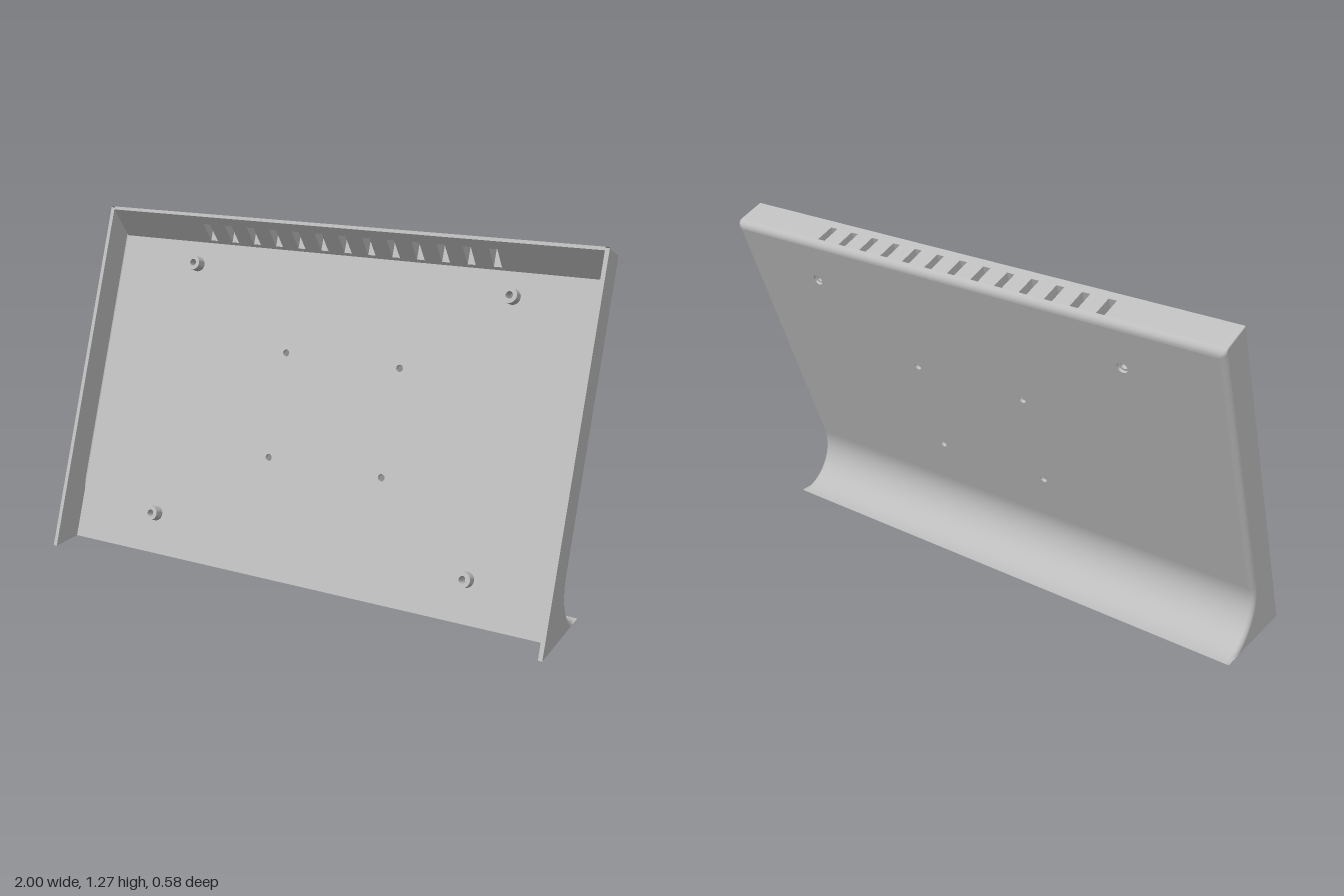
import * as THREE from 'three';
import { toCreasedNormals } from 'three/addons/utils/BufferGeometryUtils.js';

const TILT = THREE.MathUtils.degToRad(20);
const C = Math.cos(TILT), S = Math.sin(TILT);
// Tilted frame: w = depth behind the front rim, v = height along the slope
const L = 1.351;              // slope length
const FW = 0.1175, BW = 0.13; // front and back of the panel
const RC = 0.025;             // rounding of the top back edge
const R = 0.165, WC = BW + R, VC = 0.283; // cove at the foot
const INNER = 0.985, FLAT = 0.98, FRONT_Z = 0.29;
const CEIL = 1.261;           // where the sloped ceiling meets the panel

const grey = new THREE.MeshStandardMaterial({ color: 0xbdbdbd, side: THREE.DoubleSide });
grey.name = 'light grey';

function add(parent, name, geometry) {
  const m = new THREE.Mesh(geometry, grey);
  m.name = name;
  parent.add(m);
  return m;
}

// Flat rectangle with round holes given as [x, y, radius]
function plate(half, y0, y1, holes) {
  const s = new THREE.Shape();
  s.moveTo(-half, y0).lineTo(half, y0).lineTo(half, y1).lineTo(-half, y1).closePath();
  for (const [x, y, r] of holes) {
    const h = new THREE.Path();
    h.absarc(x, y, r, 0, Math.PI * 2, true);
    s.holes.push(h);
  }
  return new THREE.ShapeGeometry(s, 16);
}

// Profile in (w, v) extruded across x
function across(points, x0, x1) {
  const s = new THREE.Shape(points.map(([w, v]) => new THREE.Vector2(w, v)));
  const g = new THREE.ExtrudeGeometry(s, { depth: x1 - x0, bevelEnabled: false });
  return g.rotateY(Math.PI / 2).translate(x0, 0, 0);
}

// Back outline from the foot tip to the top front edge: point, inward normal, side fillet
function backPath() {
  const path = [], n = 24, k = 6;
  for (let i = 0; i <= n; i++) {
    const a = THREE.MathUtils.degToRad(105) * (1 - i / n);
    const m = [-Math.cos(a), -Math.sin(a)];
    path.push({ p: [WC + R * m[0], VC + R * m[1]], m, r: 0.02 });
  }
  path[n].open = true;
  for (let i = 0; i <= k; i++) {
    const b = (Math.PI / 2) * i / k, c = Math.cos(b), s = Math.sin(b);
    path.push({ p: [BW - RC + RC * c, L - RC + RC * s], m: [-c, -s], r: 0.02 - 0.016 * i / k });
  }
  path[path.length - 1].open = true;
  path.push({ p: [0, L], m: [0, -1], r: 0.004 });
  return path;
}

// Move a path point inward, keeping it above the ground
function inset({ p, m }, d) {
  let w = p[0] + m[0] * d, v = p[1] + m[1] * d;
  const y = v * C - w * S;
  if (y < 0) { v -= y * C; w += y * S; }
  return [w, v];
}

// Rounded skin over the cove and the edges; open segments leave the middle free
function skin(path) {
  const K = 6, cols = 2 * K + 4, pos = [], idx = [];
  path.forEach((q) => {
    const half = [[FLAT, 0]];
    for (let j = 0; j <= K; j++) {
      const t = (Math.PI / 2) * j / K;
      half.push([1 - q.r + q.r * Math.sin(t) + (j === 0 ? 1e-5 : 0), q.r * (1 - Math.cos(t))]);
    }
    const ring = [...half.map(([x, d]) => [-x, d]).reverse(), ...half];
    for (const [x, d] of ring) {
      const [w, v] = inset(q, d);
      pos.push(x, v, -w);
    }
  });
  for (let i = 0; i < path.length - 1; i++) {
    for (let j = 0; j < cols - 1; j++) {
      if (path[i].open && j === K + 1) continue;
      const a = i * cols + j, b = a + 1, c = a + cols, d = c + 1;
      idx.push(a, c, b, b, c, d);
    }
  }
  const g = new THREE.BufferGeometry();
  g.setAttribute('position', new THREE.Float32BufferAttribute(pos, 3));
  g.setIndex(idx);
  g.computeVertexNormals();
  return g;
}

export function createModel() {
  const model = new THREE.Group();
  model.name = 'tiltedPanelStand';
  const body = new THREE.Group();
  body.name = 'tiltedBody';
  body.rotation.x = -TILT;
  body.position.z = FRONT_Z;
  model.add(body);

  const path = backPath();
  add(body, 'roundedBackSkin', skin(path));

  // Side walls
  const profile = [...path.map((q) => inset(q, q.r)), [0, 0]];
  add(body, 'leftWall', across(profile, INNER, 1));
  add(body, 'rightWall', across(profile, -1, -INNER));

  // Panel faces with screw holes
  const slope = (y) => FW * S / C + y / C;
  const small = [], upper = [], lower = [];
  for (const x of [-0.18, 0.285]) for (const y of [0.415, 0.785]) small.push([x, slope(y), 0.013]);
  for (const x of [-0.63, 0.66]) {
    upper.push([x, slope(1.063), 0.02]);
    lower.push([x, slope(0.143), 0.02]);
  }
  add(body, 'panelFront', plate(INNER, slope(0), CEIL, [...small, ...upper, ...lower]))
    .position.z = -FW;
  const backHoles = [...small, ...upper].map(([x, y, r]) => [-x, y, r]);
  add(body, 'panelBack', plate(FLAT, VC, L - RC, backHoles).rotateY(Math.PI))
    .position.z = -BW;
  for (const [x, v, r] of small) {
    const g = new THREE.CylinderGeometry(r, r, BW - FW, 16, 1, true).rotateX(Math.PI / 2);
    add(body, 'screwHole', g).position.set(x, v, -(FW + BW) / 2);
  }

  // Standoffs: upper pair bored through, lower pair blind
  const standoff = (bore) => {
    const pts = [[0.028, 0], [0.028, 0.04], [0.013, 0.04], ...bore];
    const g = new THREE.LatheGeometry(pts.map(([r, y]) => new THREE.Vector2(r, y)), 24);
    return toCreasedNormals(g, 0.6).rotateX(Math.PI / 2);
  };
  const through = standoff([[0.013, -0.002], [0.02, -0.002], [0.02, FW - BW]]);
  const blind = standoff([[0.013, -0.02], [0, -0.02]]);
  for (const [x, v] of upper) add(body, 'upperStandoff', through).position.set(x, v, -FW);
  for (const [x, v] of lower) add(body, 'lowerStandoff', blind).position.set(x, v, -FW);

  // Top bar with a sloped ceiling, cut by thirteen vent slots
  const rim = L - 0.012;
  const ceil = (w) => rim - (w / FW) * (rim - CEIL);
  const w0 = 0.032, w1 = BW - RC;
  const tail = [[FW, CEIL], [0.12, CEIL], [0.12, L - 0.006], [w1, L]];
  const solid = [[0, rim], ...tail, [0, L]];
  const slotFront = [[0, rim], [w0, ceil(w0)], [w0, L], [0, L]];
  const slotBack = [[w1, ceil(w1)], ...tail];
  let x = -INNER;
  for (let i = 0; i < 13; i++) {
    const a = -0.567 + 0.0967 * i - 0.015, b = a + 0.03;
    add(body, 'topBar', across(solid, x, a));
    add(body, 'ventFront', across(slotFront, a, b));
    add(body, 'ventBack', across(slotBack, a, b));
    x = b;
  }
  add(body, 'topBar', across(solid, x, INNER));

  // Underside of the foot with four blind holes
  const feet = [-0.82, -0.33, 0.33, 0.82].map((fx) => [fx, 0.1, 0.013]);
  add(model, 'footUnderside', plate(INNER, -0.07, FRONT_Z - FW / C, feet).rotateX(Math.PI / 2));
  for (const [fx, fz, r] of feet) {
    const depth = 0.06;
    add(model, 'footHole', new THREE.CylinderGeometry(r, r, depth, 16, 1, true))
      .position.set(fx, depth / 2, fz);
    add(model, 'footHoleEnd', new THREE.CircleGeometry(r, 16).rotateX(Math.PI / 2))
      .position.set(fx, depth, fz);
  }
  return model;
}
